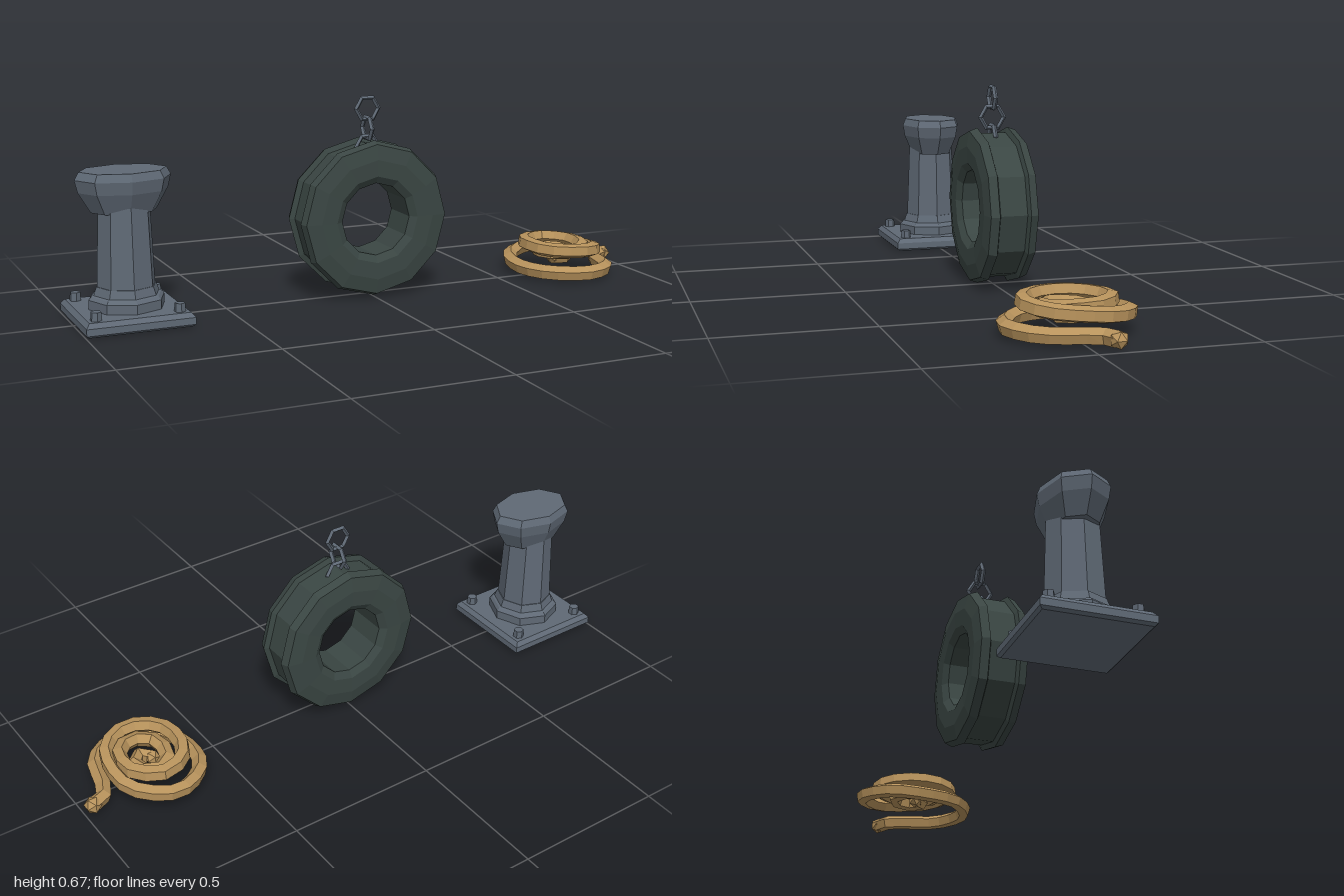
import * as THREE from 'three';

const mat = (name, color) => {
  const m = new THREE.MeshStandardMaterial({ color });
  m.name = name;
  m.flatShading = true;
  return m;
};

export function createModel() {
  const model = new THREE.Group();
  model.name = 'dockProps';
  const metal = mat('castIron', 0x5f6975);
  const rubber = mat('rubber', 0x3a4643);
  const hemp = mat('hempRope', 0xb8935c);

  const add = (parent, name, geometry, material, x = 0, y = 0, z = 0) => {
    const mesh = new THREE.Mesh(geometry, material);
    mesh.name = name;
    mesh.position.set(x, y, z);
    parent.add(mesh);
    return mesh;
  };
  // faceted solid turned from [radius, height] pairs
  const turned = (profile, sides) =>
    new THREE.LatheGeometry(profile.map(([r, y]) => new THREE.Vector2(r, y)), sides);
  const group = (name) => {
    const g = new THREE.Group();
    g.name = name;
    model.add(g);
    return g;
  };

  // Mooring bollard
  const bollard = group('bollard');
  bollard.position.set(-0.827, 0, -0.004);
  const d = Math.SQRT2;
  const plate = turned([[0, 0], [0.163 * d, 0], [0.172 * d, 0.008], [0.172 * d, 0.03],
    [0.16 * d, 0.045], [0, 0.045]], 4);
  plate.rotateY(Math.PI / 4);
  add(bollard, 'basePlate', plate, metal);
  add(bollard, 'collar', turned([[0.122, 0.04], [0.122, 0.075], [0.113, 0.085],
    [0.105, 0.088], [0.096, 0.115], [0, 0.115]], 8), metal);
  add(bollard, 'shaft', turned([[0.094, 0.1], [0.083, 0.37]], 8), metal);
  const head = add(bollard, 'head', turned([[0, 0.345], [0.074, 0.35], [0.101, 0.415],
    [0.108, 0.455], [0.098, 0.48], [0, 0.48]], 8), metal);
  head.scale.x = 1.42;
  for (const sx of [-1, 1]) for (const sz of [-1, 1]) {
    add(bollard, 'bolt', new THREE.CylinderGeometry(0.017, 0.019, 0.034, 6), metal,
      sx * 0.132, 0.055, sz * 0.132);
  }

  // Fender ring with a grooved tread
  const half = [[0.242, 0.045], [0.26, 0.052], [0.25, 0.079], [0.2, 0.088],
    [0.145, 0.086], [0.121, 0.07]];
  const lower = half.map(([r, y]) => [r, -y]).reverse();
  const tyre = turned([...lower, ...half, lower[0]], 12);
  tyre.rotateX(Math.PI / 2);
  add(model, 'fenderRing', tyre, rubber, 0, 0.265, 0);

  // Hanging chain, alternate links turned a quarter
  const chain = group('chain');
  [0.497, 0.559, 0.624].forEach((y, i) => {
    const link = add(chain, 'chainLink', new THREE.TorusGeometry(0.04, 0.008, 4, 6), metal, 0, y, 0);
    if (i === 1) link.rotation.y = Math.PI / 2;
  });

  // Coiled rope: radii and height at each quarter turn, from the outside in
  const rope = group('ropeCoil');
  const quarters = [[0.16, 0.03], [0.187, 0.033], [0.157, 0.036], [0.192, 0.06],
    [0.125, 0.083], [0.135, 0.1], [0.11, 0.105], [0.135, 0.1],
    [0.088, 0.095], [0.083, 0.085], [0.062, 0.078], [0.078, 0.07],
    [0.045, 0.064], [0.03, 0.06], [0.02, 0.057]];
  const path = [new THREE.Vector3(0.972, 0.031, -0.07), new THREE.Vector3(0.925, 0.03, -0.05)];
  const spin = (k) => {
    const i = Math.min(Math.floor(k), quarters.length - 2);
    const t = k - i;
    const [r0, y0] = quarters[i];
    const [r1, y1] = quarters[i + 1];
    const a = k * Math.PI / 2;
    return new THREE.Vector3(0.742 + (r0 + (r1 - r0) * t) * Math.cos(a),
      y0 + (y1 - y0) * t, (r0 + (r1 - r0) * t) * Math.sin(a));
  };
  for (let k = 0; k <= quarters.length - 1; k += 0.5) path.push(spin(k));
  const curve = new THREE.CatmullRomCurve3(path);
  add(rope, 'rope', new THREE.TubeGeometry(curve, 48, 0.026, 5), hemp);
  add(rope, 'outerRopeEnd', new THREE.IcosahedronGeometry(0.029, 0), hemp, 0.972, 0.031, -0.07);
  const end = path[path.length - 1];
  add(rope, 'innerRopeEnd', new THREE.IcosahedronGeometry(0.026, 0), hemp, end.x, end.y, end.z);

  return model;
}
